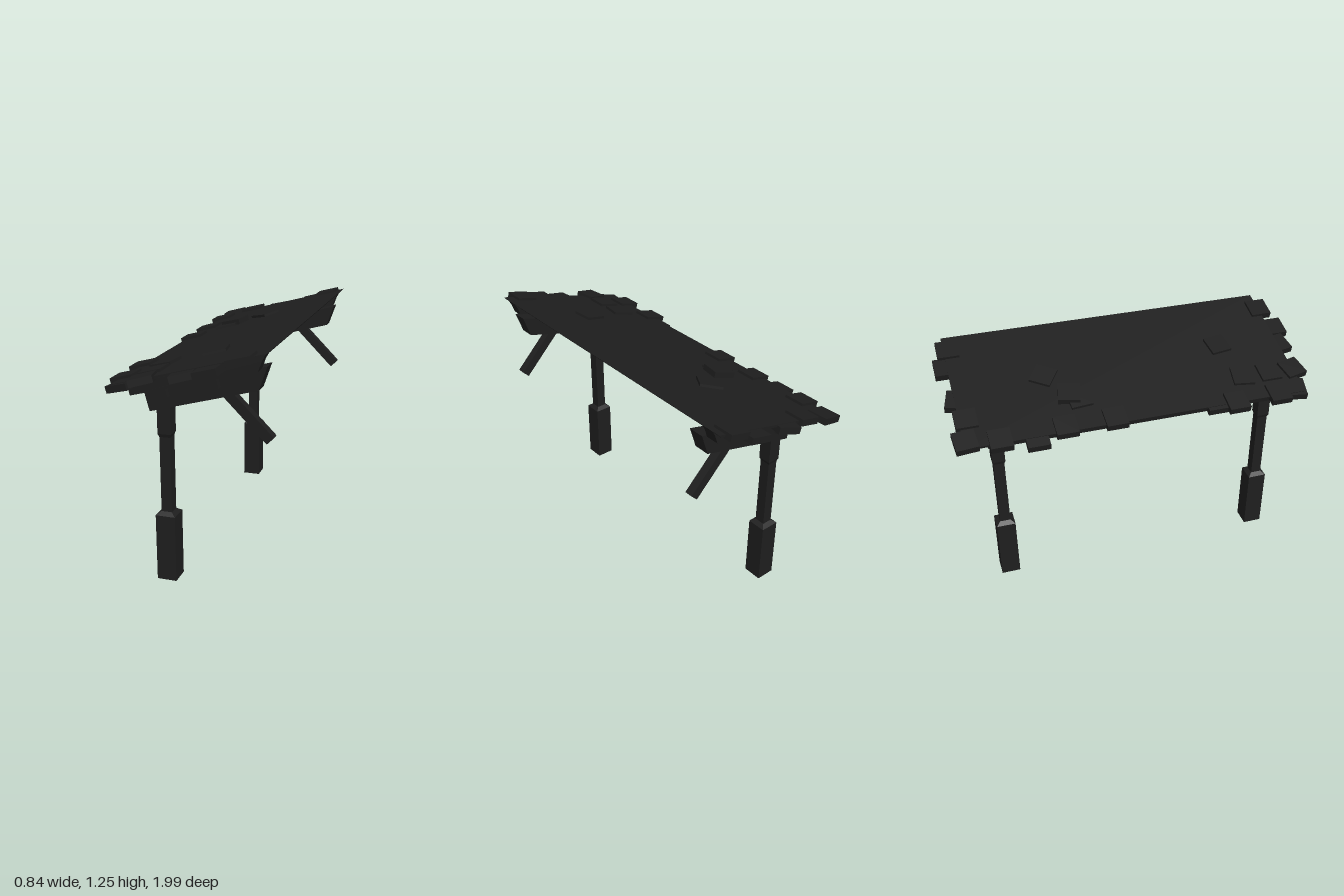
import * as THREE from 'three';

const TILT = THREE.MathUtils.degToRad(15);
const MID = 0.008; // z midpoint between the posts

export function createModel() {
  const model = new THREE.Group();
  model.name = 'leanToRoof';
  const darkWood = new THREE.MeshStandardMaterial({ color: 0x1e1e1e });
  darkWood.name = 'dark wood';

  function add(parent, name, geometry, x = 0, y = 0, z = 0) {
    const mesh = new THREE.Mesh(geometry, darkWood);
    mesh.name = name;
    mesh.position.set(x, y, z);
    parent.add(mesh);
    return mesh;
  }
  const box = (w, h, d) => new THREE.BoxGeometry(w, h, d);

  // Side profile extruded along z, centred on z
  function slab(parent, name, points, z, depth) {
    const shape = new THREE.Shape(points.map(([x, y]) => new THREE.Vector2(x, y)));
    const geometry = new THREE.ExtrudeGeometry(shape, { depth, bevelEnabled: false });
    return add(parent, name, geometry, 0, 0, z - depth / 2);
  }

  // Square frustum joining two post sections
  function collar(parent, name, wBottom, dBottom, wTop, dTop, y0, y1, x, z) {
    const geometry = box(1, y1 - y0, 1);
    const p = geometry.attributes.position;
    for (let i = 0; i < p.count; i++) {
      const top = p.getY(i) > 0;
      p.setX(i, p.getX(i) * (top ? wTop : wBottom));
      p.setZ(i, p.getZ(i) * (top ? dTop : dBottom));
    }
    const flat = geometry.toNonIndexed();
    flat.computeVertexNormals();
    add(parent, name, flat, x, (y0 + y1) / 2, z);
  }

  // Everything in this group is built flat, then pitched as one roof
  const roof = new THREE.Group();
  roof.name = 'roof';
  roof.rotation.z = TILT;
  model.add(roof);

  // Thin roof sheet with a sharp high edge
  slab(roof, 'roofSheet', [[-0.078, 1.088], [0.7, 1.088], [0.72, 1.101], [-0.078, 1.101]], -0.015, 1.83);
  add(roof, 'eaveTrim', box(0.044, 0.061, 1.66), 0.018, 1.0575, MID);
  add(roof, 'eaveBeam', box(0.1, 0.074, 1.5), 0.095, 0.959, MID);
  add(roof, 'looseShingle', box(0.12, 0.03, 0.115), 0.225, 0.93, -0.088);

  for (const side of [1, -1]) {
    const z = MID + side * 0.76;

    // Rake trim under the sheet, gable board and its bracket blocks
    const rz = side * 0.84;
    slab(roof, 'rakeTrim', [[-0.004, 1.027], [0.65, 1.024], [0.68, 1.068], [0.7, 1.088], [-0.004, 1.088]], rz, 0.07);
    slab(roof, 'gableBoard', [[0.044, 0.922], [0.611, 0.926], [0.68, 1.029], [0.044, 1.031]], MID + side * 0.767, 0.084);
    for (const u of [0.133, 0.398]) {
      add(roof, 'bracketBlock', box(0.07, 0.052, 0.1), u, 1.002, MID + side * 0.785);
    }

    // Post: thick foot, slim shaft, wider head
    const post = new THREE.Group();
    post.name = 'post';
    model.add(post);
    const x = -0.131;
    add(post, 'postFoot', box(0.103, 0.355, 0.104), x, 0.1775, z);
    collar(post, 'footCollar', 0.103, 0.104, 0.056, 0.058, 0.355, 0.372, x, z);
    add(post, 'postShaft', box(0.056, 0.42, 0.058), x, 0.572, z);
    collar(post, 'headCollar', 0.056, 0.058, 0.069, 0.07, 0.768, 0.785, x, z);
    add(post, 'postHead', box(0.069, 0.19, 0.07), x, 0.88, z);

    // Diagonal strut
    const strut = add(model, 'strut', box(0.35, 0.05, 0.045), 0.278, 0.926, z);
    strut.rotation.z = -Math.PI / 4;
  }

  // Shingles: x, z, turn in degrees, height (0 tucked under, 1 on edge, 2 on top)
  const shingles = [
    [-0.32, -0.92, 5, 1], [-0.185, -0.895, 0, 1], [-0.035, -0.915, -14, 0],
    [0.2, -0.94, 0, 0], [0.305, -0.91, 0, 1], [-0.345, -0.75, 0, 1],
    [-0.36, -0.57, 0, 0], [-0.33, -0.415, 0, 1], [-0.33, -0.155, 0, 1],
    [-0.325, 0.4, 0, 0], [-0.36, 0.505, 0, 1], [-0.35, 0.75, 0, 1],
    [-0.32, 0.86, -10, 0], [-0.2, 0.755, 0, 1], [-0.2, 0.895, 12, 1],
    [0.01, 0.905, 10, 0], [0.14, 0.935, 0, 0], [0.285, 0.895, 0, 1],
    [-0.2, 0.6, -8, 1], [0.05, 0.55, 8, 1], [0.02, -0.45, -33, 1],
    [-0.14, -0.35, -12, 2], [-0.17, -0.305, 5, 1],
  ];
  const heights = [1.08, 1.097, 1.114];
  for (const [x, z, turn, level] of shingles) {
    const u = (x + 0.007 + heights[level] * Math.sin(TILT)) / Math.cos(TILT);
    const shingle = add(roof, 'shingle', box(0.122, 0.036, 0.115), u, heights[level], z);
    shingle.rotation.y = THREE.MathUtils.degToRad(turn);
  }

  return model;
}
